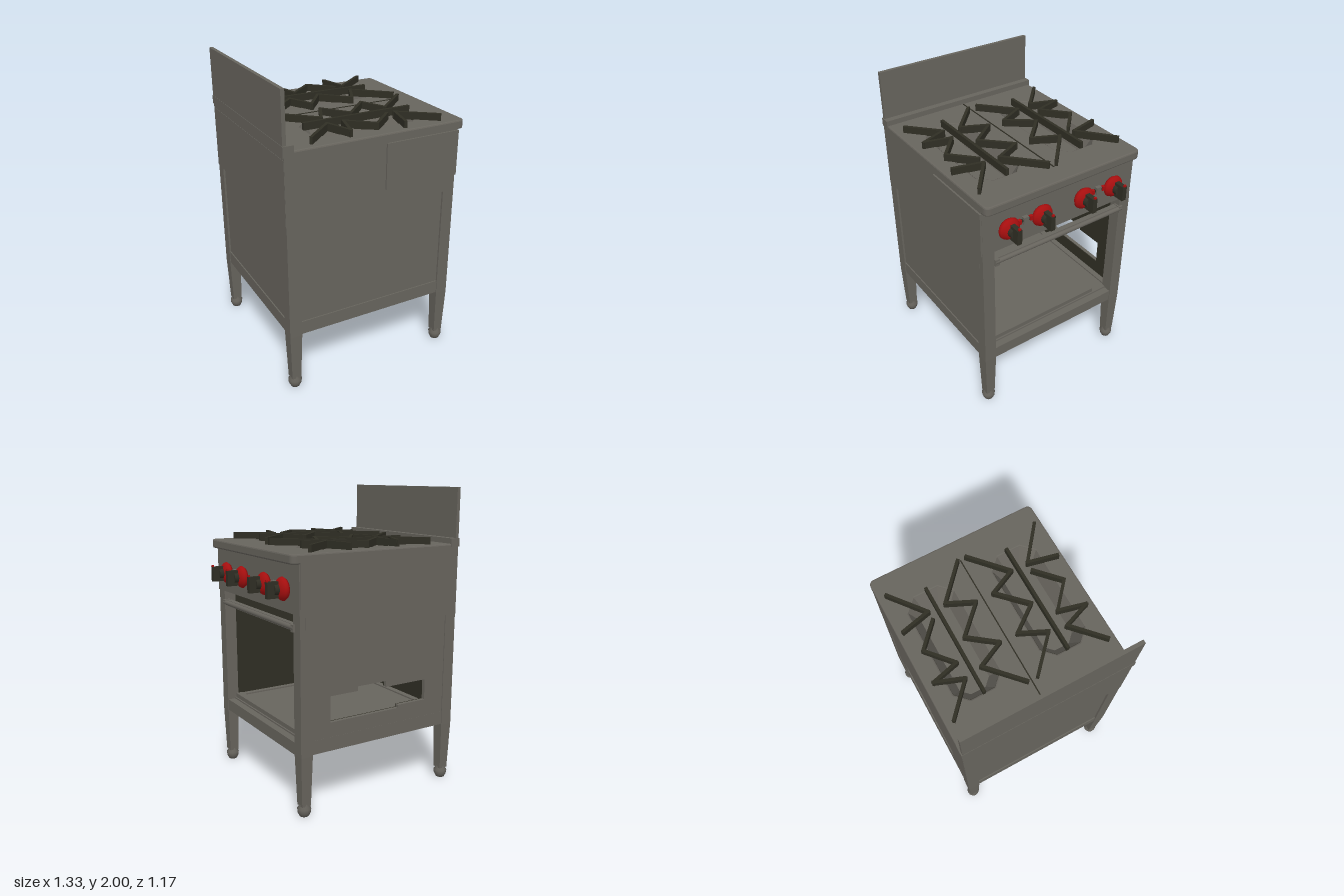
import * as THREE from 'three';

const mat = (name, color, side = THREE.DoubleSide) => {
  const m = new THREE.MeshStandardMaterial({ color, side });
  m.name = name;
  return m;
};

export function createModel() {
  const steel = mat('steel grey', 0x67645d);
  const iron = mat('dark iron', 0x2f2e24);
  const red = mat('knob red', 0xa80f0f);
  const root = new THREE.Group();
  root.name = 'rangeCooker';

  const add = (name, geo, m, x = 0, y = 0, z = 0, parent = root) => {
    const mesh = new THREE.Mesh(geo, m);
    mesh.name = name;
    mesh.position.set(x, y, z);
    parent.add(mesh);
    return mesh;
  };
  // Box given by its limits on each axis
  const box = (name, m, x0, x1, y0, y1, z0, z1, parent = root) =>
    add(name, new THREE.BoxGeometry(x1 - x0, y1 - y0, z1 - z0), m,
      (x0 + x1) / 2, (y0 + y1) / 2, (z0 + z1) / 2, parent);

  // Skin between equal-sized rings of points, optionally closed by a flat end
  const loft = (rings, capEnd) => {
    const pos = [];
    const quad = (a, b, c, d) => [a, b, c, a, c, d].forEach(p => pos.push(...p));
    const n = rings[0].length;
    for (let r = 0; r + 1 < rings.length; r++)
      for (let i = 0; i < n; i++) {
        const j = (i + 1) % n;
        quad(rings[r][i], rings[r][j], rings[r + 1][j], rings[r + 1][i]);
      }
    const last = rings[rings.length - 1];
    if (capEnd) for (let i = 1; i + 1 < n; i++) [last[0], last[i], last[i + 1]].forEach(p => pos.push(...p));
    const g = new THREE.BufferGeometry();
    g.setAttribute('position', new THREE.Float32BufferAttribute(pos, 3));
    g.computeVertexNormals();
    return g;
  };
  // Chamfered rectangle in plan
  const octagon = (cx, cz, w, d, c) => [
    [-w + c, -d], [w - c, -d], [w, -d + c], [w, d - c],
    [w - c, d], [-w + c, d], [-w, d - c], [-w, -d + c],
  ].map(([x, z]) => [cx + x, cz + z]);

  // Legs: square post, tapered below the frame, with a turned foot
  const footProfile = [[0, 0], [0.03, 0], [0.042, 0.025], [0.045, 0.05], [0.034, 0.065], [0.03, 0.1]]
    .map(p => new THREE.Vector2(...p));
  const square = (h, y) => [[-h, y, -h], [-h, y, h], [h, y, h], [h, y, -h]];
  for (const [x, top] of [[-0.617, 1.2], [0.493, 1.28]])
    for (const s of [-1, 1]) {
      const leg = new THREE.Group();
      leg.name = x > 0 ? 'frontLeg' : 'rearLeg';
      leg.position.set(x, 0, s * 0.535);
      root.add(leg);
      add('post', loft([square(0.031, 0.07), square(0.041, 0.4), square(0.041, top)], true), steel, 0, 0, 0, leg);
      add('foot', new THREE.LatheGeometry(footProfile, 14), steel, 0, 0, 0, leg);
    }

  // Lower frame rails
  for (const s of [-1, 1])
    box('sideRail', steel, -0.6, 0.5, 0.405, 0.495, s * 0.535 - 0.036, s * 0.535 + 0.036);
  box('frontRail', steel, 0.455, 0.53, 0.395, 0.475, -0.51, 0.51);
  box('rearRail', steel, -0.653, -0.58, 0.405, 0.495, -0.51, 0.51);

  // Floor pan with sloping skirt underneath
  const rect = (x0, x1, z, y) => [[x0, y, -z], [x0, y, z], [x1, y, z], [x1, y, -z]];
  add('floorSkirt', loft([rect(-0.58, 0.455, 0.5, 0.41), rect(-0.5, 0.38, 0.42, 0.47)], true), steel);
  box('ovenFloor', steel, -0.6, 0.48, 0.472, 0.485, -0.51, 0.51);
  box('floorLip', steel, 0.42, 0.47, 0.485, 0.515, -0.38, 0.49);

  // Side panels; the one on the far side has a stepped cut-out
  const panel = (name, m, holed, z, depth) => {
    const s = new THREE.Shape([[-0.6, 0.47], [0.47, 0.47], [0.47, 1.28], [-0.6, 1.28]]
      .map(p => new THREE.Vector2(...p)));
    if (holed) s.holes.push(new THREE.Path([
      [-0.42, 0.61], [-0.2, 0.61], [-0.2, 0.59], [0.32, 0.59], [0.32, 0.76],
      [0.12, 0.76], [0.12, 0.79], [-0.1, 0.79], [-0.1, 0.75], [-0.42, 0.75],
    ].map(p => new THREE.Vector2(...p))));
    add(name, new THREE.ExtrudeGeometry(s, { depth, bevelEnabled: false }), m, 0, 0, z);
  };
  panel('leftSidePanel', steel, false, 0.545, 0.018);
  panel('leftSideLining', iron, false, 0.538, 0.006);
  panel('rightSidePanel', steel, true, -0.57, 0.025);
  panel('rightSideLining', iron, true, -0.544, 0.006);
  box('backPanel', steel, -0.645, -0.63, 0.47, 1.28, -0.51, 0.51);
  box('backLining', iron, -0.629, -0.623, 0.48, 1.28, -0.51, 0.51);
  box('ovenCeiling', iron, -0.62, 0.5, 1.275, 1.283, -0.54, 0.54);

  // Upper body bands around the burner box
  for (const s of [-1, 1]) {
    box('sideBand', steel, -0.66, 0.53, 1.28, 1.59, s * 0.565 - 0.012, s * 0.565 + 0.012);
    box('sideBandLower', steel, -0.66, 0.5, 1.17, 1.28, s * 0.568 - 0.009, s * 0.568 + 0.009);
  }
  box('backBand', steel, -0.662, -0.64, 1.17, 1.59, -0.575, 0.575);
  box('controlPanel', steel, 0.505, 0.535, 1.28, 1.585, -0.572, 0.575);
  box('coverPlate', steel, 0.01, 0.535, 1.28, 1.58, 0.576, 0.588);

  // Cooktop deck, rounded at the front corners, with two openings
  const deck = new THREE.Shape();
  deck.moveTo(-0.66, -0.577);
  deck.lineTo(0.545, -0.577);
  deck.quadraticCurveTo(0.585, -0.577, 0.585, -0.537);
  deck.lineTo(0.585, 0.537);
  deck.quadraticCurveTo(0.585, 0.577, 0.545, 0.577);
  deck.lineTo(-0.66, 0.577);
  const wellZ = [-0.295, 0.29];
  for (const z of wellZ)
    deck.holes.push(new THREE.Path(octagon(-0.02, z, 0.37, 0.155, 0.075).map(([x, w]) => new THREE.Vector2(x, -w))));
  const deckGeo = new THREE.ExtrudeGeometry(deck,
    { depth: 0.04, bevelThickness: 0.01, bevelSize: 0.01, bevelOffset: -0.01, bevelSegments: 2 });
  deckGeo.rotateX(-Math.PI / 2);
  add('cooktop', deckGeo, steel, 0, 1.59, 0);
  for (const z of wellZ) {
    const ring = (w, d, c, y) => octagon(-0.02, z, w, d, c).map(([x, q]) => [x, y, q]);
    add('burnerWell', loft([ring(0.37, 0.155, 0.075, 1.635), ring(0.31, 0.1, 0.05, 1.52)], true), steel);
  }
  box('cooktopSeam', iron, -0.59, 0.44, 1.638, 1.644, -0.009, -0.002);

  // Splashback and its raised ledge
  box('splashback', steel, -0.665, -0.641, 1.6, 2.0, -0.572, 0.572);
  box('splashbackLedge', steel, -0.667, -0.598, 1.62, 1.675, -0.58, 0.58);

  // Pan supports: zigzag bars, mirrored front to back
  const grates = new THREE.Group();
  grates.name = 'panSupports';
  root.add(grates);
  const bar = ([x0, z0], [x1, z1]) => {
    const len = Math.hypot(x1 - x0, z1 - z0);
    const m = add('supportBar', new THREE.BoxGeometry(len + 0.018, 0.048, 0.02), iron,
      (x0 + x1) / 2, 1.661, (z0 + z1) / 2, grates);
    m.rotation.y = -Math.atan2(z1 - z0, x1 - x0);
  };
  const zigzags = [
    [[-0.46, 0.52], [-0.27, 0.345], [-0.205, 0.52], [-0.16, 0.345], [0, 0.485], [0.15, 0.345]],
    [[0.165, 0.535], [0.21, 0.345], [0.43, 0.52]],
    [[-0.46, 0.035], [-0.25, 0.23], [-0.17, 0.06], [-0.04, 0.23], [0.13, 0.06], [0.21, 0.23], [0.43, 0.03]],
  ];
  // The near-side inner zigzag runs the same way as its mirror image
  for (const s of [-1, 1])
    for (const path of zigzags)
      for (let i = 0; i + 1 < path.length; i++)
        bar([path[i][0], s * path[i][1]], [path[i + 1][0], s * path[i + 1][1]]);
  for (const z of [-0.287, 0.277]) bar([-0.39, z], [0.35, z]);

  // Control knobs: red skirt with dark grip
  for (const z of [0.4, 0.16, -0.16, -0.4]) {
    const knob = new THREE.Group();
    knob.name = 'knob';
    knob.position.set(0.535, 1.42, z);
    root.add(knob);
    const skirt = new THREE.LatheGeometry([[0, 0], [0.062, 0], [0.073, 0.016], [0.068, 0.03], [0.045, 0.052], [0, 0.056]]
      .map(p => new THREE.Vector2(...p)), 20);
    skirt.rotateZ(-Math.PI / 2);
    add('knobSkirt', skirt, red, 0, 0, 0, knob);
    const hub = new THREE.CylinderGeometry(0.033, 0.036, 0.03, 14);
    hub.rotateZ(-Math.PI / 2);
    add('knobHub', hub, iron, 0.065, 0, 0, knob);
    box('knobGrip', iron, 0.05, 0.125, -0.052, 0.048, -0.016, 0.016, knob);
    box('knobPointer', red, 0.115, 0.127, 0.048, 0.06, -0.008, 0.008, knob);
  }
  // Pilot fittings between each pair of knobs
  for (const z of [0.28, -0.28]) {
    box('pilotLink', iron, 0.535, 0.55, 1.422, 1.438, z - 0.06, z + 0.06);
    box('pilotBody', steel, 0.535, 0.56, 1.405, 1.455, z - 0.018, z + 0.018);
    for (const s of [-1, 1])
      box('pilotCap', red, 0.535, 0.555, 1.415, 1.445, z + s * 0.042 - 0.01, z + s * 0.042 + 0.01);
  }

  // Rail across the oven opening, with end brackets
  const rail = new THREE.CylinderGeometry(0.016, 0.016, 1.0, 12);
  rail.rotateX(Math.PI / 2);
  add('ovenRail', rail, steel, 0.535, 1.2, -0.01);
  box('ovenLintel', steel, 0.49, 0.525, 1.175, 1.215, -0.51, 0.51);
  for (const z of [-0.5, 0.48])
    box('railBracket', steel, 0.5, 0.548, 1.175, 1.22, z - 0.015, z + 0.015);

  return root;
}
